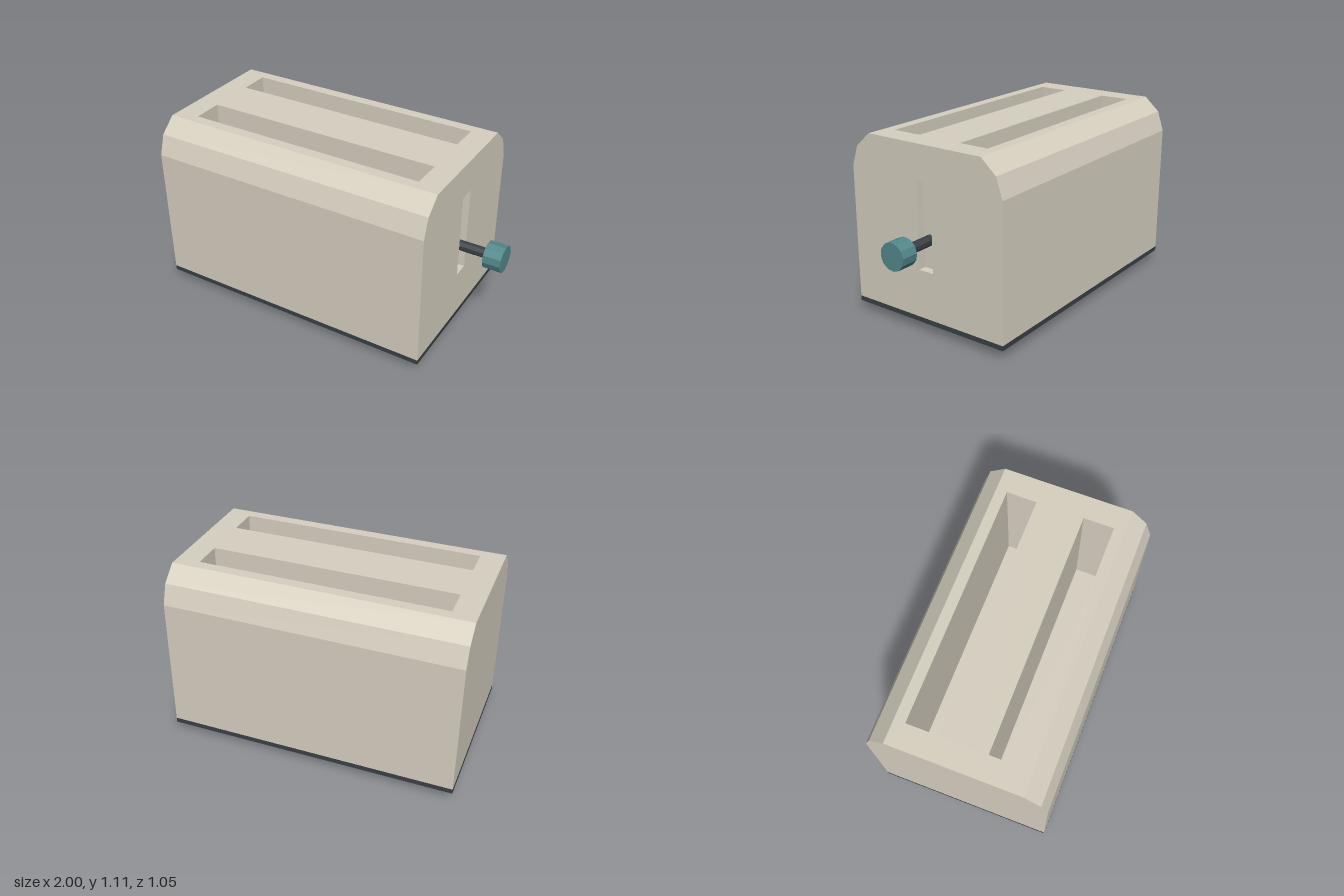
import * as THREE from 'three';
import { mergeGeometries } from 'three/addons/utils/BufferGeometryUtils.js';

const X0 = -1, X1 = 0.74, BOTTOM = 0.09, TOP = 1.105;
// Half-section of the shell as [z, y], mirrored to the other side
const half = [[0.525, BOTTOM], [0.525, 0.9], [0.485, 1.02], [0.39, TOP]];
const section = [...half, ...half.map(([z, y]) => [-z, y]).reverse()];

const rectPoints = (x0, y0, x1, y1) =>
  [[x0, y0], [x1, y0], [x1, y1], [x0, y1]].map(([x, y]) => new THREE.Vector2(x, y));

// Flat panel with rectangular holes
function panel(points, holes = []) {
  const shape = new THREE.Shape(points);
  shape.holes = holes.map((h) => new THREE.Path(rectPoints(...h)));
  return new THREE.ShapeGeometry(shape);
}

// Inward-facing box with one face (0 = +x, 2 = +y) left open
function pocket(min, max, openFace) {
  const size = max.map((v, i) => v - min[i]);
  const g = new THREE.BoxGeometry(...size);
  const index = Array.from(g.index.array);
  index.splice(openFace * 6, 6);
  g.setIndex(index.reverse());
  return g.translate(...min.map((v, i) => v + size[i] / 2));
}

// Join pieces with crisp flat normals
function mergeFlat(pieces) {
  const flat = pieces.map((p) => {
    const g = p.index ? p.toNonIndexed() : p;
    g.deleteAttribute('uv');
    g.clearGroups();
    g.computeVertexNormals();
    return g;
  });
  return mergeGeometries(flat);
}

// Long faces running between the ends, without the flat top
function shellSides() {
  const pos = [];
  for (let i = 0; i < section.length - 1; i++) {
    if (i === half.length - 1) continue;
    const [az, ay] = section[i], [bz, by] = section[i + 1];
    pos.push(X0, ay, az, X1, ay, az, X1, by, bz, X0, ay, az, X1, by, bz, X0, by, bz);
  }
  return new THREE.BufferGeometry().setAttribute('position', new THREE.Float32BufferAttribute(pos, 3));
}

export function createModel() {
  const cream = new THREE.MeshStandardMaterial({ color: 0xd6d0c0 });
  cream.name = 'cream';
  const charcoal = new THREE.MeshStandardMaterial({ color: 0x3a4045 });
  charcoal.name = 'charcoal';
  const teal = new THREE.MeshStandardMaterial({ color: 0x52898b });
  teal.name = 'teal';

  const model = new THREE.Group();
  model.name = 'toaster';
  const add = (name, geometry, material, x = 0, y = 0, z = 0) => {
    const mesh = new THREE.Mesh(geometry, material);
    mesh.name = name;
    mesh.position.set(x, y, z);
    model.add(mesh);
    return mesh;
  };

  // Shell with open slots in the top and the lever end
  const endPoints = section.map(([z, y]) => new THREE.Vector2(z, y));
  const slots = [[-0.86, -0.325, 0.6, -0.143], [-0.86, 0.143, 0.6, 0.325]];
  const topPoints = rectPoints(X0, -0.39, X1, 0.39);
  add('shell', mergeFlat([
    shellSides(),
    panel(topPoints, slots).rotateX(-Math.PI / 2).translate(0, TOP, 0),
    panel(endPoints, [[-0.049, 0.38, 0.049, 0.903]]).rotateY(Math.PI / 2).translate(X1, 0, 0),
    panel(endPoints).rotateY(-Math.PI / 2).translate(X0, 0, 0),
  ]), cream);

  // Linings of the bread slots and the lever track
  slots.forEach(([x0, z0, x1, z1], i) => {
    add(`breadSlot${i + 1}`, mergeFlat([pocket([x0, 0.4, z0], [x1, TOP, z1], 2)]), cream);
  });
  add('leverTrack', mergeFlat([pocket([X1 - 0.05, 0.38, -0.049], [X1, 0.903, 0.049], 0)]), cream);

  // Base plate and feet
  add('basePlate', new THREE.BoxGeometry(X1 - X0, 0.03, 1.05), charcoal, (X0 + X1) / 2, 0.075);
  for (const x of [-0.84, 0.58]) {
    for (const z of [-0.3625, 0.3625]) {
      add('foot', new THREE.BoxGeometry(0.144, 0.06, 0.144), charcoal, x, 0.03, z);
    }
  }

  // Lever and its faceted knob, lying along x
  const bar = (radius, length, sides, turn) =>
    mergeFlat([new THREE.CylinderGeometry(radius, radius, length, sides)
      .rotateY(turn).rotateZ(-Math.PI / 2)]);
  add('leverRod', bar(0.031, 0.21, 8, Math.PI / 8), charcoal, 0.795, 0.555);
  add('leverKnob', bar(0.081, 0.106, 12, 0.1), teal, 0.947, 0.555);

  return model;
}
